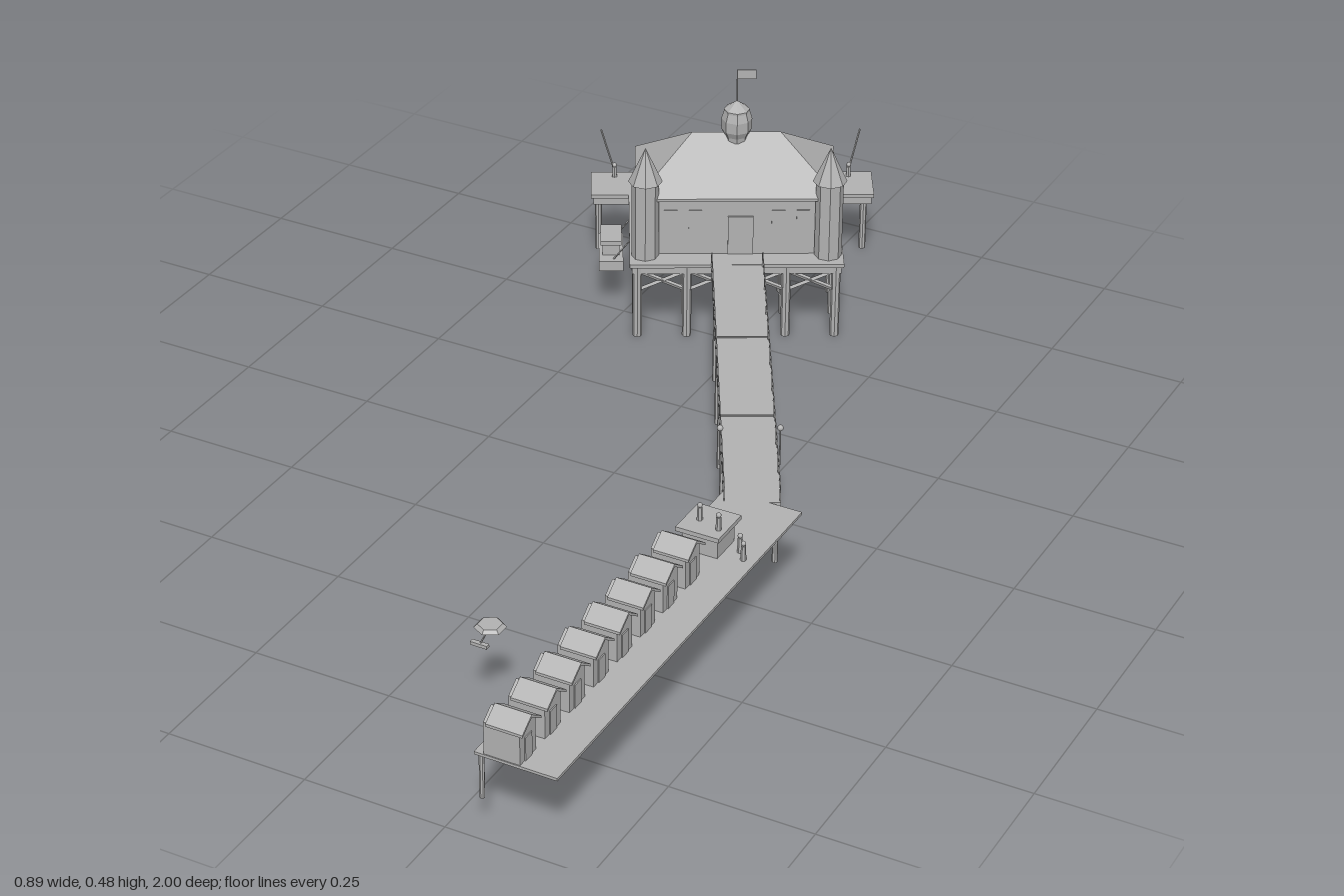
import * as THREE from 'three';
import { ConvexGeometry } from 'three/addons/geometries/ConvexGeometry.js';

const stone = new THREE.MeshStandardMaterial({ color: 0xb2b2b2 });
stone.name = 'plain grey';

const V = (x, y, z) => new THREE.Vector3(x, y, z);

function add(parent, name, geometry, x = 0, y = 0, z = 0) {
  const mesh = new THREE.Mesh(geometry, stone);
  mesh.name = name;
  mesh.position.set(x, y, z);
  parent.add(mesh);
  return mesh;
}

// Faceted copy of a geometry
function facet(geometry) {
  const g = geometry.toNonIndexed();
  g.computeVertexNormals();
  return g;
}

// Box given by its limits
function block(parent, name, x0, x1, y0, y1, z0, z1) {
  return add(parent, name, new THREE.BoxGeometry(x1 - x0, y1 - y0, z1 - z0),
    (x0 + x1) / 2, (y0 + y1) / 2, (z0 + z1) / 2);
}

// Upright cylinder or cone from y0 to y1
function post(parent, name, x, z, y0, y1, r, rTop = r, sides = 8) {
  return add(parent, name, facet(new THREE.CylinderGeometry(rTop, r, y1 - y0, sides)), x, (y0 + y1) / 2, z);
}

// Square bar between two points
function bar(parent, name, a, b, t) {
  const mesh = add(parent, name, new THREE.BoxGeometry(t, t, a.distanceTo(b)));
  mesh.position.copy(a).add(b).multiplyScalar(0.5);
  mesh.quaternion.setFromUnitVectors(V(0, 0, 1), b.clone().sub(a).normalize());
  return mesh;
}

function figure(parent, x, y, z, h = 0.034) {
  post(parent, 'figureBody', x, z, y, y + h * 0.75, 0.005, 0.004, 6);
  add(parent, 'figureHead', new THREE.SphereGeometry(0.0045, 8, 6), x, y + h * 0.87, z);
}

const TOP = 0.153; // walking level

function pavilion(p) {
  // Decks and their edge beams
  block(p, 'mainDeck', -0.194, 0.194, 0.146, TOP, -0.134, 0.132);
  block(p, 'backDeck', -0.264, 0.264, 0.146, TOP + 0.0005, -0.224, -0.134);
  block(p, 'backDeckBeam', -0.26, 0.26, 0.131, 0.146, -0.22, -0.138);
  for (const z of [-0.12, -0.04, 0.04, 0.12]) block(p, 'deckBeam', -0.19, 0.19, 0.131, 0.146, z - 0.006, z + 0.006);

  // Piles and cross bracing
  for (let i = 0; i < 6; i++) post(p, 'backPile', -0.25 + i * 0.1, -0.208, 0, 0.135, 0.0065);
  const columns = [-0.18, -0.09, 0, 0.09, 0.18], rows = [-0.12, -0.04, 0.04, 0.12];
  for (const z of rows) {
    columns.forEach((x, i) => {
      post(p, 'deckPile', x, z, 0, 0.147, 0.0085);
      if (i === 4) return;
      bar(p, 'brace', V(x, 0.095, z), V(x + 0.09, 0.135, z), 0.006);
      bar(p, 'brace', V(x, 0.135, z), V(x + 0.09, 0.095, z), 0.006);
    });
  }
  for (const x of [-0.18, 0.18]) for (const z of rows.slice(0, 3)) {
    bar(p, 'sideBrace', V(x, 0.095, z), V(x, 0.135, z + 0.08), 0.006);
    bar(p, 'sideBrace', V(x, 0.135, z), V(x, 0.095, z + 0.08), 0.006);
  }

  // Hall with hipped roof
  block(p, 'hall', -0.165, 0.165, TOP, 0.268, -0.09, 0.09);
  const roof = [V(-0.08, 0.355, 0), V(0.08, 0.355, 0)];
  for (const x of [-0.183, 0.183]) for (const z of [-0.103, 0.103]) roof.push(V(x, 0.267, z), V(x, 0.272, z));
  add(p, 'roof', new ConvexGeometry(roof));

  // Door and windows
  block(p, 'door', -0.016, 0.03, TOP, 0.23, 0.089, 0.093);
  for (const x of [-0.12, -0.075, 0.075, 0.12]) block(p, 'frontWindow', x - 0.012, x + 0.012, 0.205, 0.243, 0.089, 0.092);
  for (const x of [-0.12, -0.06, 0, 0.06, 0.12]) block(p, 'backWindow', x - 0.015, x + 0.015, 0.205, 0.243, -0.092, -0.089);
  for (const s of [-1, 1]) for (const z of [-0.062, -0.004, 0.054]) {
    add(p, 'sideWindow', new THREE.BoxGeometry(0.003, 0.038, 0.036), s * 0.1655, 0.224, z);
  }

  // Corner towers
  for (const s of [-1, 1]) {
    post(p, 'tower', s * 0.166, 0.094, TOP, 0.306, 0.025);
    post(p, 'towerSpire', s * 0.166, 0.094, 0.304, 0.37, 0.031, 0.0005);
  }

  // Cupola, pole and flag
  const profile = [[0.02, 0.34], [0.0215, 0.35], [0.0275, 0.362], [0.028, 0.383], [0.0235, 0.398], [0.0235, 0.402], [0.012, 0.41], [0, 0.419]];
  add(p, 'cupola', facet(new THREE.LatheGeometry(profile.map(([x, y]) => new THREE.Vector2(x, y)), 8)));
  post(p, 'flagPole', 0, 0, 0.41, 0.48, 0.0015, 0.0015, 6);
  block(p, 'flag', 0, 0.034, 0.462, 0.48, -0.001, 0.001);

  // Anglers with rods at the back corners
  for (const s of [-1, 1]) {
    figure(p, s * 0.22, TOP, -0.208, 0.028);
    bar(p, 'rod', V(s * 0.22, 0.163, -0.212), V(s * 0.245, 0.207, -0.295), 0.0025);
  }

  // Slung boat with a small cabin
  const hull = [];
  for (const [x, z] of [[-0.205, 0.035], [-0.25, 0.035], [-0.25, -0.07], [-0.205, -0.07], [-0.222, -0.102], [-0.233, -0.102]]) {
    hull.push(V(x, 0.086, z), V(x, 0.106, z));
  }
  add(p, 'boatHull', new ConvexGeometry(hull));
  block(p, 'boatCabin', -0.243, -0.212, 0.106, 0.128, -0.045, 0.01);
  block(p, 'boatCabinRoof', -0.247, -0.208, 0.128, 0.137, -0.05, 0.015);
  for (const z of [-0.055, 0.025]) bar(p, 'boatSling', V(-0.227, 0.1, z), V(-0.19, 0.148, z), 0.002);
}

function bridge(p) {
  block(p, 'bridgeDeck', -0.047, 0.047, 0.147, TOP - 0.0005, 0.13, 0.925);
  for (const z of [0.39, 0.653]) block(p, 'deckJoint', -0.048, 0.048, 0.146, TOP + 0.001, z - 0.002, z + 0.002);
  for (const s of [-1, 1]) {
    // Railings
    block(p, 'handRail', s * 0.046 - 0.001, s * 0.046 + 0.001, 0.177, 0.18, 0.135, 0.918);
    for (let i = 0; i < 10; i++) block(p, 'railPost', s * 0.046 - 0.001, s * 0.046 + 0.001, 0.15, 0.18, 0.134 + i * 0.087, 0.137 + i * 0.087);
    // Piles
    for (let i = 0; i < 5; i++) post(p, 'bridgePile', s * 0.042, 0.283 + i * 0.1465, 0, 0.15, 0.005);
    // Lamps
    post(p, 'lampPost', s * 0.05, 0.8, 0.147, 0.217, 0.0015, 0.0015, 6);
    add(p, 'lamp', new THREE.SphereGeometry(0.0055, 10, 8), s * 0.05, 0.219, 0.8);
  }
}

// Prism with a profile in (z, y), running along x
function prism(points, length) {
  const g = new THREE.ExtrudeGeometry(new THREE.Shape(points.map(([z, y]) => new THREE.Vector2(-z, y))), { depth: length, bevelEnabled: false });
  g.translate(0, 0, -length / 2);
  g.rotateY(Math.PI / 2);
  return g;
}

function promenade(p) {
  block(p, 'promenadeDeck', 0.299, 0.441, 0.148, TOP, 0.172, 0.992);
  for (const z of [0.585, 0.98]) post(p, 'promenadeLeg', 0.305, z, 0.063, 0.15, 0.0045);

  // Row of beach huts
  const body = prism([[-0.024, TOP], [0.024, TOP], [0.024, 0.211], [0, 0.228], [-0.024, 0.211]], 0.062);
  const roof = prism([[-0.029, 0.208], [-0.029, 0.213], [0, 0.233], [0.029, 0.213], [0.029, 0.208], [0, 0.228]], 0.063);
  for (let i = 0; i < 8; i++) {
    const z = 0.437 + i * 0.0756;
    add(p, 'hutBody', body, 0.346, 0, z);
    add(p, 'hutRoof', roof, 0.353, 0, z);
    block(p, 'hutDoor', 0.376, 0.379, TOP, 0.195, z - 0.01, z + 0.01);
  }

  // Kiosk with visitors
  block(p, 'kiosk', 0.318, 0.382, TOP, 0.19, 0.3, 0.36);
  block(p, 'kioskRoof', 0.311, 0.389, 0.19, 0.198, 0.29, 0.37);
  for (const [x, z] of [[0.336, 0.333], [0.376, 0.345]]) figure(p, x, 0.198, z, 0.032);
  figure(p, 0.405, TOP, 0.325, 0.036);
  figure(p, 0.42, TOP, 0.343, 0.036);

  // Swimmer under the edge
  block(p, 'swimmer', 0.292, 0.328, 0.133, 0.138, 0.447, 0.455);

  // Glider canopy with its rider
  post(p, 'gliderCanopy', 0.172, 0.722, 0.172, 0.178, 0.026, 0.02, 6);
  bar(p, 'gliderLine', V(0.172, 0.174, 0.722), V(0.158, 0.14, 0.73), 0.002);
  block(p, 'gliderRider', 0.142, 0.172, 0.136, 0.142, 0.726, 0.734);
}

export function createModel() {
  const model = new THREE.Group();
  model.name = 'pier';
  // Pavilion and bridge share a turned frame
  const turned = new THREE.Group();
  turned.name = 'pavilionAndBridge';
  turned.position.set(-0.087, 0, -0.627);
  turned.rotation.y = 0.5;
  pavilion(turned);
  bridge(turned);
  const walk = new THREE.Group();
  walk.name = 'promenade';
  promenade(walk);
  model.add(turned, walk);
  return model;
}
